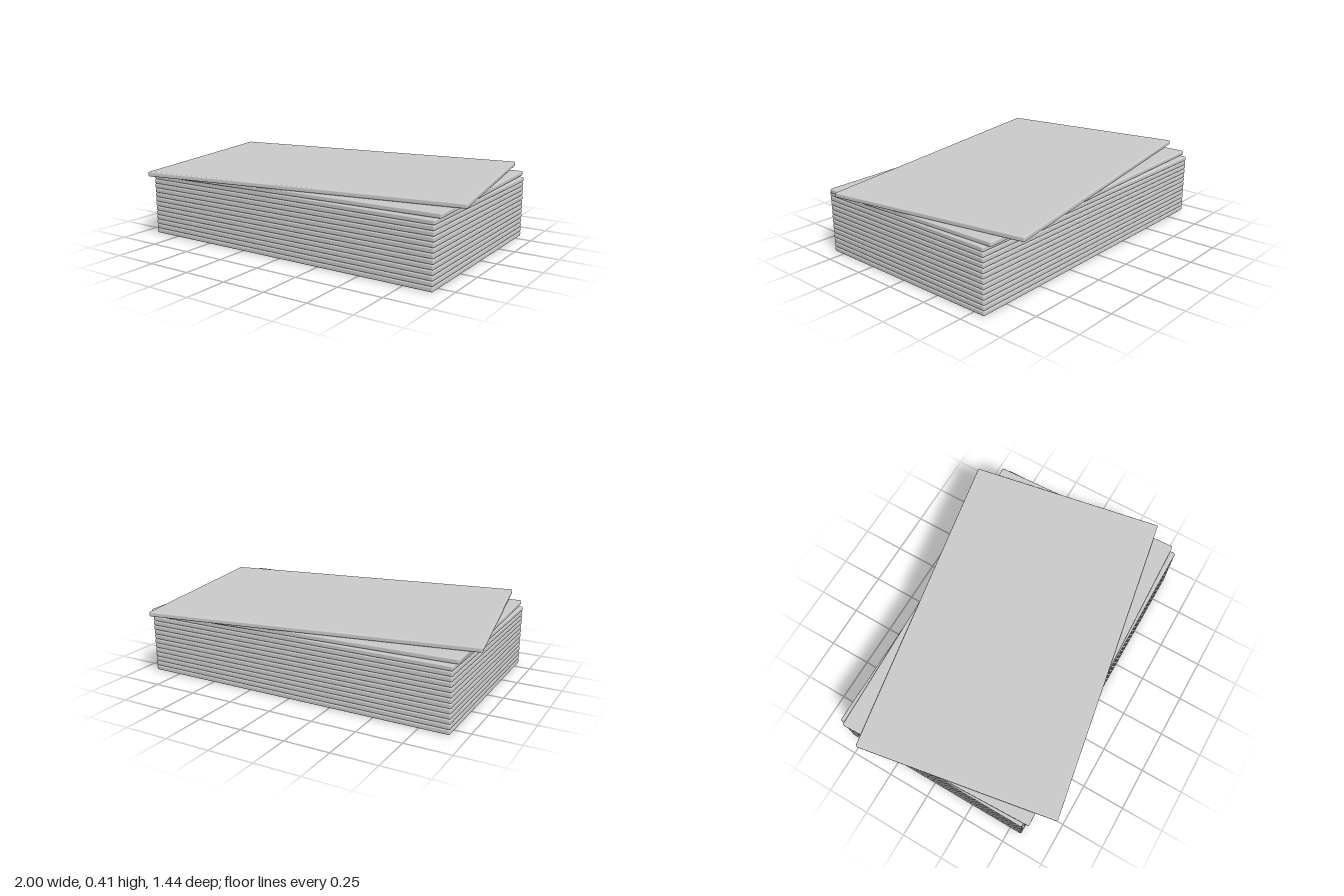
import * as THREE from 'three';
import { RoundedBoxGeometry } from 'three/addons/geometries/RoundedBoxGeometry.js';

const WIDTH = 1.828, DEPTH = 1.14, THICK = 0.0272, EDGE = 0.008;
const COUNT = 15;

export function createModel() {
  const model = new THREE.Group();
  model.name = 'boardStack';
  const material = new THREE.MeshStandardMaterial({ color: 0xcccccc });
  const geometry = new RoundedBoxGeometry(WIDTH, THICK, DEPTH, 3, EDGE);

  // Identical thin boards piled up; the two uppermost are twisted
  for (let i = 0; i < COUNT; i++) {
    const board = new THREE.Mesh(geometry, material);
    board.name = i === COUNT - 1 ? 'topBoard' : i === COUNT - 2 ? 'shiftedBoard' : `board${i + 1}`;
    board.position.y = THICK * (i + 0.5);
    const twist = i === COUNT - 1 ? 10 : i === COUNT - 2 ? 2 : 0;
    board.rotation.y = THREE.MathUtils.degToRad(twist);
    model.add(board);
  }
  return model;
}
